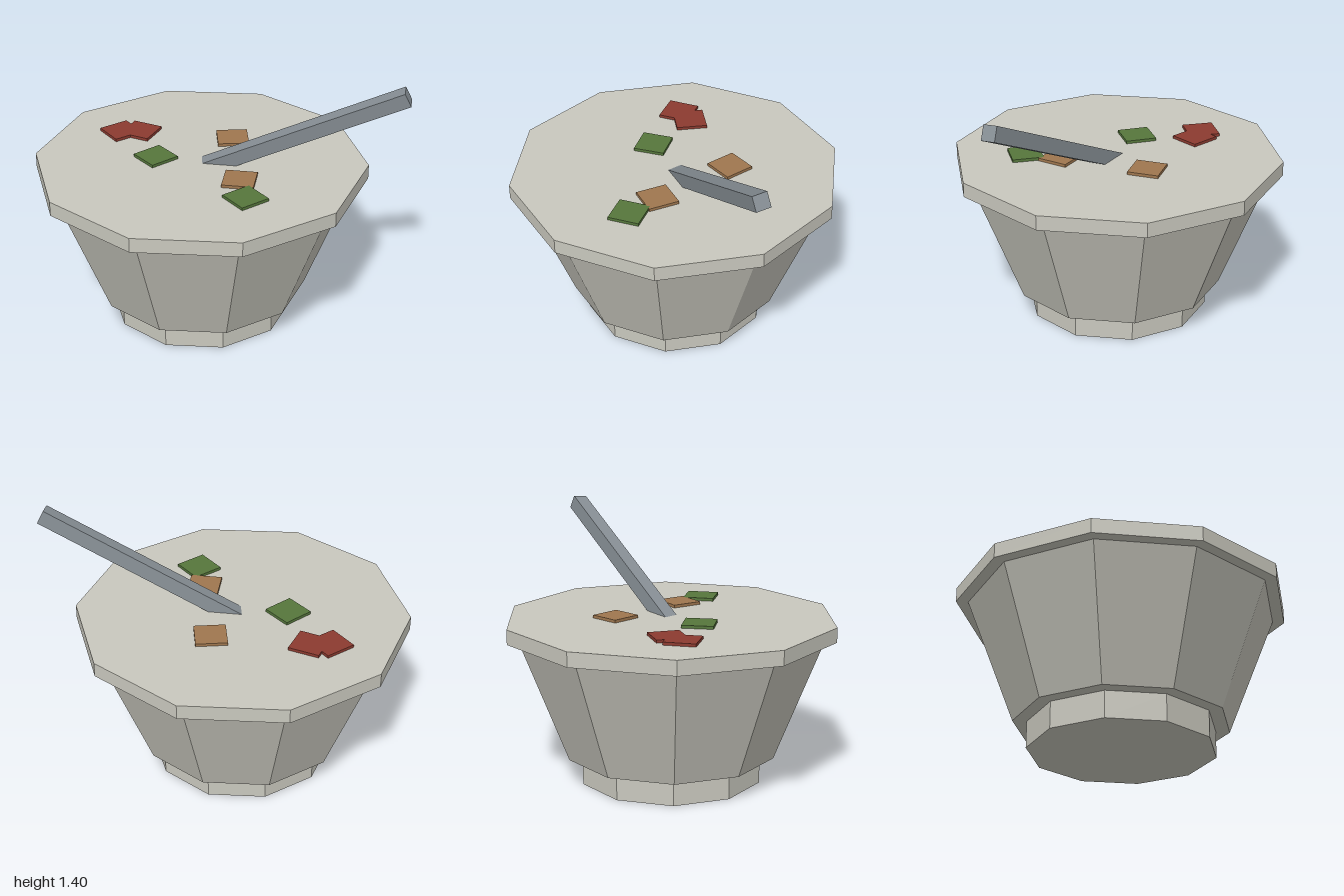
import * as THREE from 'three';

const mat = (name, color) => {
  const m = new THREE.MeshStandardMaterial({ color, flatShading: true });
  m.name = name;
  return m;
};

export function createModel() {
  const stone = mat('pale stone', 0xc9c8be);
  const steel = mat('grey steel', 0x868e94);
  const red = mat('red vegetable', 0x8c3b30);
  const green = mat('green vegetable', 0x56773c);
  const brown = mat('brown meat', 0x9f774f);

  const model = new THREE.Group();
  model.name = 'bowlOfStew';
  const add = (name, geometry, material) => {
    const mesh = new THREE.Mesh(geometry, material);
    mesh.name = name;
    model.add(mesh);
    return mesh;
  };

  // Ten-sided bowl: foot, flared body and rim, with a corner on the x axis
  const tier = (name, rTop, rBottom, y0, y1) => {
    const mesh = add(name, new THREE.CylinderGeometry(rTop, rBottom, y1 - y0, 10), stone);
    mesh.position.set(-0.1, (y0 + y1) / 2, 0);
    mesh.rotation.y = Math.PI / 2;
  };
  tier('foot', 0.5, 0.5, 0, 0.145);
  tier('body', 0.835, 0.575, 0.145, 0.81);
  tier('rim', 0.9, 0.9, 0.81, 0.89);

  // Spoon handle leaning out of the bowl, rolled slightly about its length
  const length = 1.24;
  const along = new THREE.Vector3(1.07, 0.52, 0.14).normalize();
  const side = new THREE.Vector3(-0.086, -0.1, 0.99);
  side.addScaledVector(along, -side.dot(along)).normalize();
  const up = new THREE.Vector3().crossVectors(side, along);
  const handle = add('spoonHandle', new THREE.BoxGeometry(length, 0.08, 0.08), steel);
  handle.quaternion.setFromRotationMatrix(new THREE.Matrix4().makeBasis(along, up, side));
  handle.position.set(0.975, 1.365, 0.143).addScaledVector(along, -length / 2);

  // Square food chunks lying on the surface: x, z, turn
  const chunks = [
    ['redChunk', red, -0.572, -0.29, 0.68],
    ['redChunk', red, -0.463, -0.3, -0.37],
    ['brownChunk', brown, 0.053, -0.253, 0.14],
    ['brownChunk', brown, 0.122, 0.231, -0.08],
    ['greenChunk', green, -0.345, 0, 0.75],
    ['greenChunk', green, 0.165, 0.423, 0.705],
  ];
  for (const [name, material, x, z, turn] of chunks) {
    const chunk = add(name, new THREE.BoxGeometry(0.17, 0.04, 0.17), material);
    chunk.position.set(x, 0.886, z);
    chunk.rotation.y = turn;
  }
  return model;
}
